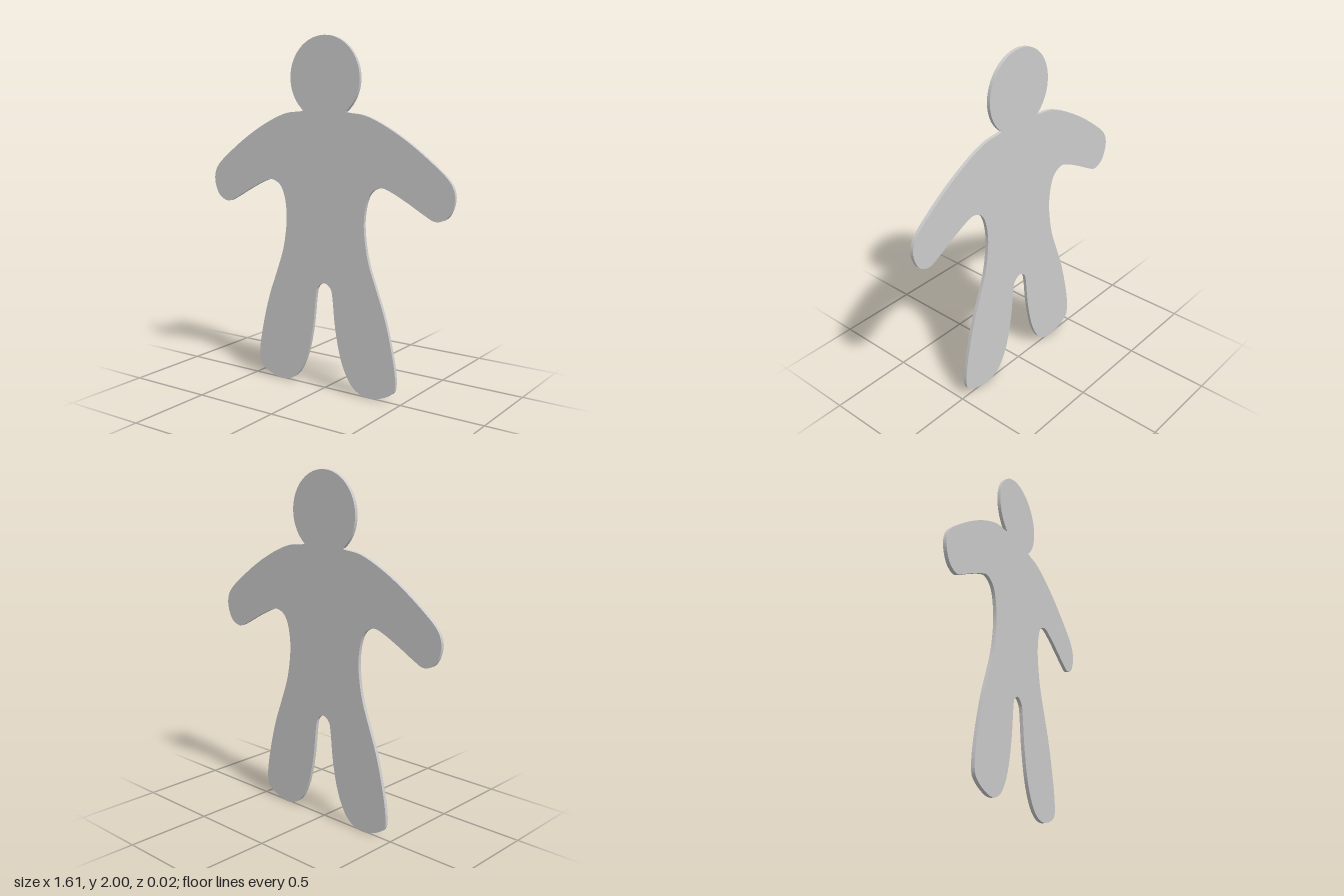
import * as THREE from 'three';

const THICKNESS = 0.02;

// Left half of the body outline: neck, arm, side, leg, crotch
const HALF = [
  [0.142, 1.59], [0.167, 1.583], [0.246, 1.575], [0.325, 1.55], [0.43, 1.5], [0.537, 1.437],
  [0.643, 1.363], [0.75, 1.278], [0.796, 1.22], [0.807, 1.156], [0.786, 1.087], [0.75, 1.05],
  [0.696, 1.037], [0.632, 1.066], [0.537, 1.119], [0.43, 1.172], [0.368, 1.188], [0.31, 1.161],
  [0.278, 1.098], [0.263, 0.997], [0.27, 0.89], [0.294, 0.77], [0.341, 0.638], [0.394, 0.495],
  [0.437, 0.336], [0.468, 0.177], [0.468, 0.082], [0.437, 0.045], [0.378, 0.016], [0.304, 0.001],
  [0.23, 0.018], [0.167, 0.077], [0.114, 0.193], [0.077, 0.362], [0.056, 0.548], [0.04, 0.597],
];

function figureShape() {
  const left = HALF.map(([x, y]) => new THREE.Vector2(x, y));
  const right = HALF.map(([x, y]) => new THREE.Vector2(-x, y)).reverse();
  const body = new THREE.SplineCurve([...left, new THREE.Vector2(0, 0.62), ...right]).getPoints(288);

  // Round head, joined to the shoulders at two sharp neck corners
  const a = Math.atan2(0.18, 0.142);
  const head = new THREE.EllipseCurve(0, 1.77, 0.23, 0.23, Math.PI + a, -a, true).getPoints(56);
  return new THREE.Shape([...body, ...head.slice(1, -1)]);
}

export function createModel() {
  const group = new THREE.Group();
  group.name = 'flatFigure';

  // Thin cut-out plate, centred on z = 0
  const geometry = new THREE.ExtrudeGeometry(figureShape(), { depth: THICKNESS, bevelEnabled: false });
  geometry.translate(0, 0, -THICKNESS / 2);
  const plate = new THREE.Mesh(geometry, new THREE.MeshStandardMaterial({ color: 0xcccccc }));
  plate.name = 'figurePlate';
  group.add(plate);
  return group;
}
